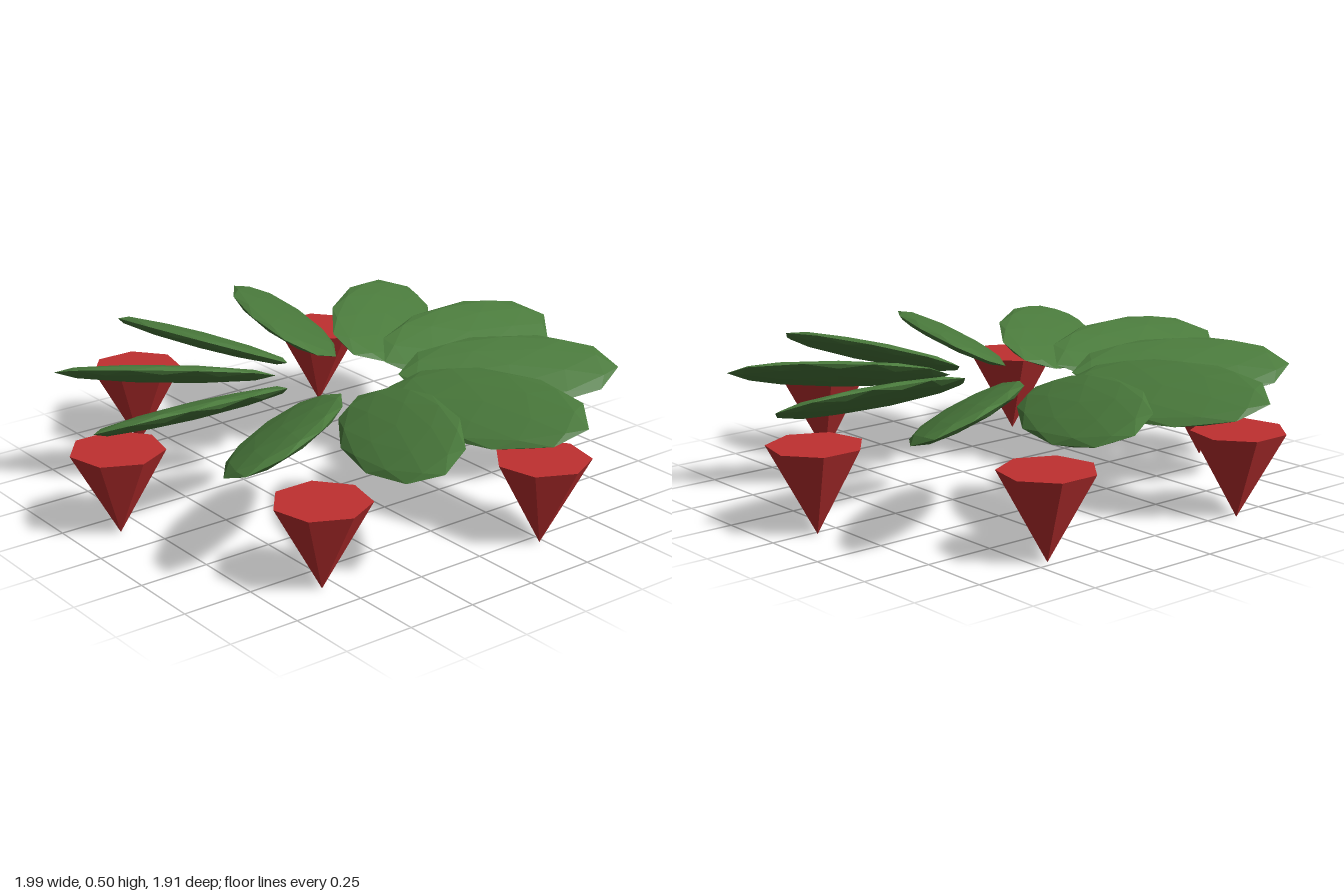
import * as THREE from 'three';

export function createModel() {
  const model = new THREE.Group();
  const leafGreen = new THREE.MeshStandardMaterial({ color: 0x4a7a3c });
  const budRed = new THREE.MeshStandardMaterial({ color: 0xbf3030 });
  leafGreen.flatShading = true;
  budRed.flatShading = true;

  // One leaf: a faceted ball with a corner on each axis tip, flattened,
  // twisted about its length like a propeller blade and moved outwards
  const leafShape = new THREE.IcosahedronGeometry(1, 1);
  leafShape.rotateZ(Math.atan2(1, (1 + Math.sqrt(5)) / 2));
  leafShape.rotateY(Math.PI / 2);
  leafShape.scale(0.388, 0.03, 0.185);
  leafShape.rotateX(0.42);
  leafShape.rotateZ(0.025);
  leafShape.translate(0.603, 0.425, 0);

  // Ring of ten leaves
  const leaves = new THREE.Group();
  leaves.name = 'leafRing';
  leaves.position.set(-0.005, 0, -0.015);
  for (let i = 0; i < 10; i++) {
    const leaf = new THREE.Mesh(leafShape, leafGreen);
    leaf.name = 'leaf';
    leaf.rotation.y = (i * Math.PI) / 5;
    leaves.add(leaf);
  }
  model.add(leaves);

  // Seven-sided cones hanging point down below the leaves
  const budShape = new THREE.CylinderGeometry(0.165, 0, 0.305, 7);
  budShape.translate(0, 0.1525, 0);
  const budSpots = [
    [0.835, -0.017], [0.45, -0.725], [-0.357, -0.78],
    [-0.838, -0.137], [-0.555, 0.62], [0.232, 0.79],
  ];
  for (const [x, z] of budSpots) {
    const bud = new THREE.Mesh(budShape, budRed);
    bud.name = 'hangingBud';
    bud.position.set(x, 0, z);
    model.add(bud);
  }
  return model;
}
